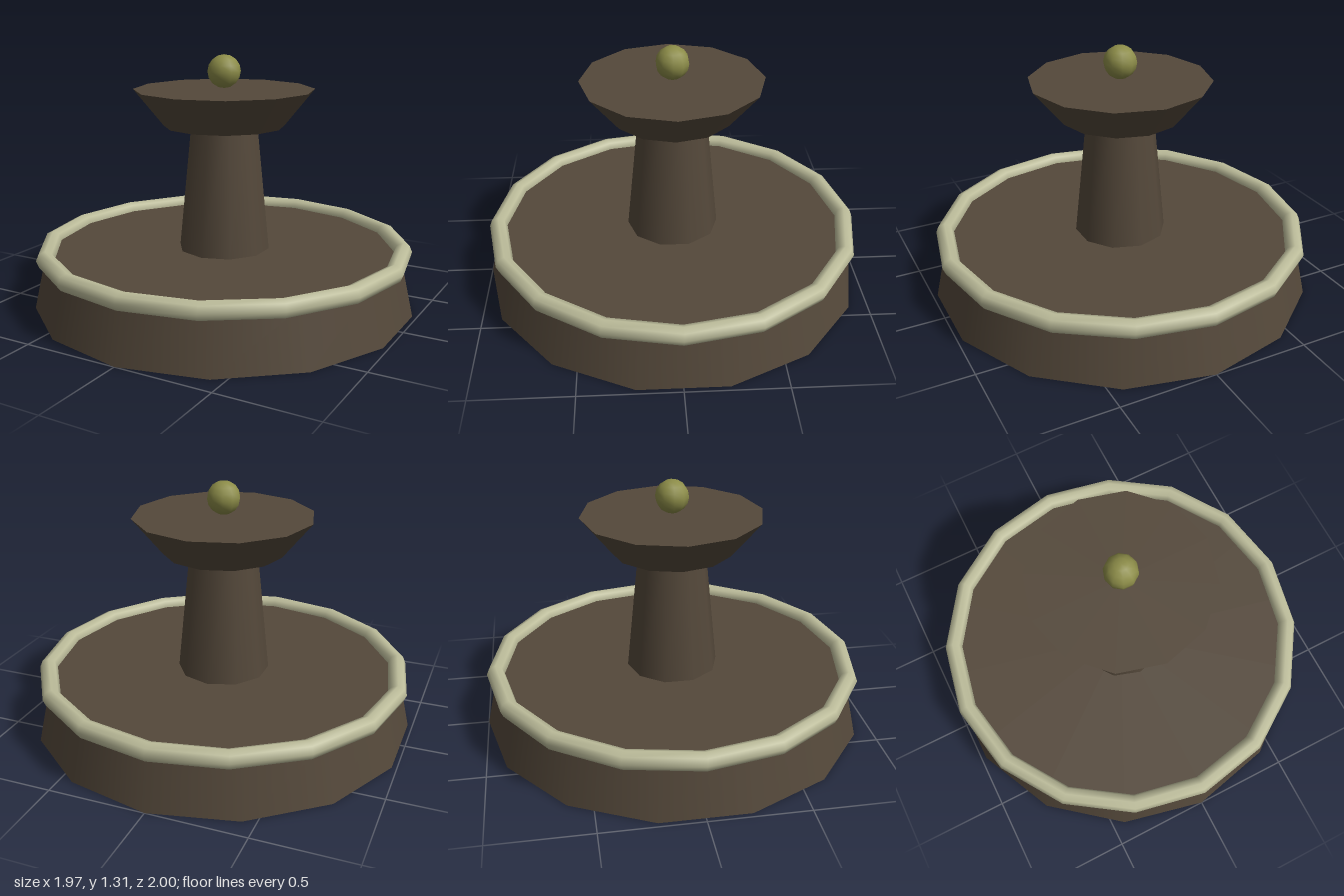
import * as THREE from 'three';

export function createModel() {
  const group = new THREE.Group();
  const stone = new THREE.MeshStandardMaterial({ color: 0x54483a });
  stone.name = 'brown stone';
  const trim = new THREE.MeshStandardMaterial({ color: 0xbcbc9a });
  trim.name = 'pale trim';
  const olive = new THREE.MeshStandardMaterial({ color: 0x8c8c48 });
  olive.name = 'olive';

  const add = (name, geometry, material, y) => {
    const mesh = new THREE.Mesh(geometry, material);
    mesh.name = name;
    mesh.position.y = y;
    group.add(mesh);
    return mesh;
  };
  // Tapered drum standing between two heights
  const drum = (name, rTop, rBottom, y0, y1, sides) =>
    add(name, new THREE.CylinderGeometry(rTop, rBottom, y1 - y0, sides), stone, (y0 + y1) / 2);

  // Wide basin with its rounded rim
  drum('basin', 0.935, 1, 0, 0.29, 14);
  add('basinRim', new THREE.TorusGeometry(0.94, 0.047, 8, 16), trim, 0.29).rotation.x = Math.PI / 2;

  // Column, upper bowl and finial ball
  drum('column', 0.174, 0.24, 0.29, 0.95, 10);
  drum('upperBowl', 0.468, 0.313, 0.94, 1.13, 12);
  add('finialBall', new THREE.SphereGeometry(0.086, 10, 8), olive, 1.22);

  return group;
}
